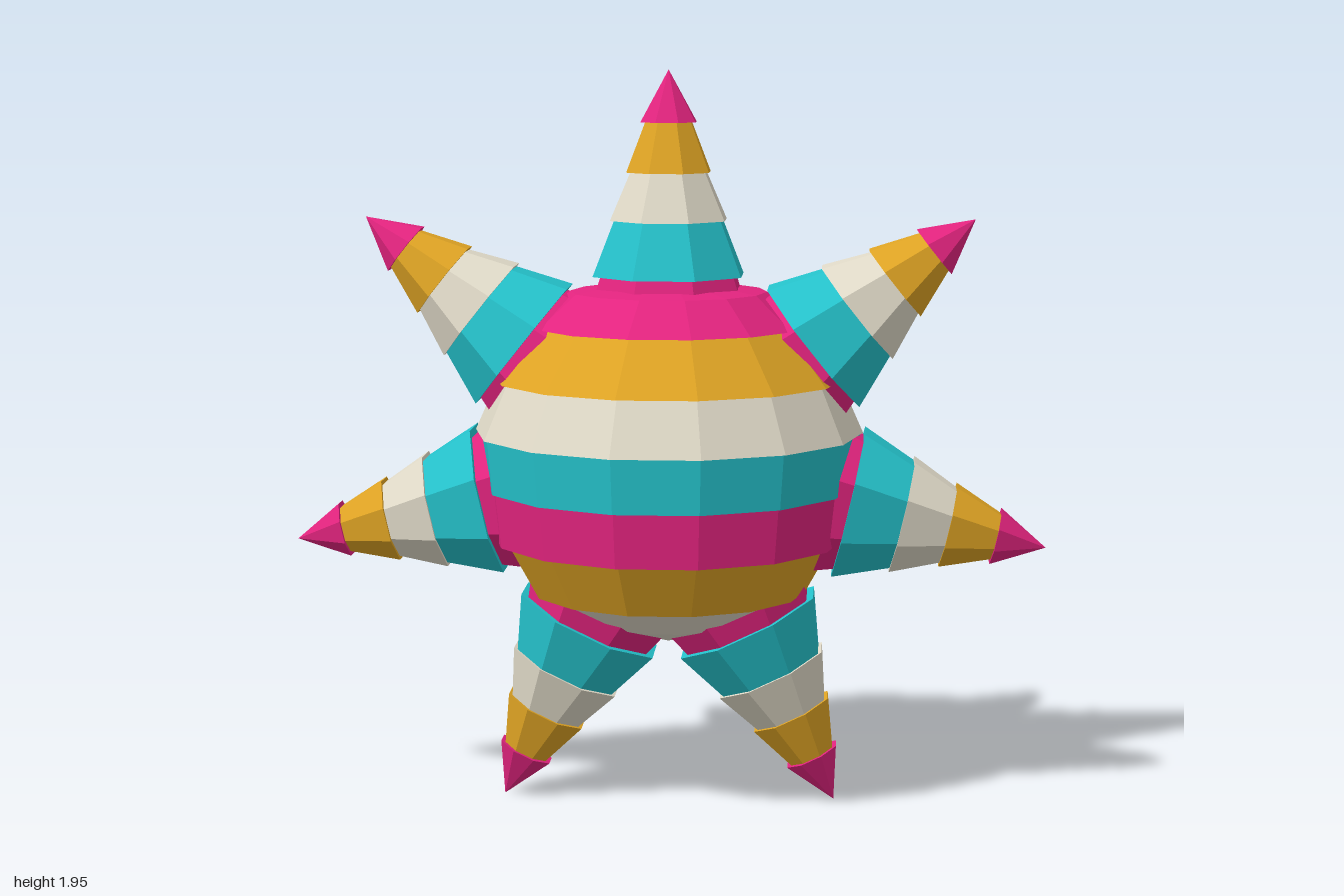
import * as THREE from 'three';

const material = (name, color) => {
  const m = new THREE.MeshStandardMaterial({ color, flatShading: true });
  m.name = name;
  return m;
};

export function createModel() {
  const pink = material('pink', 0xe3247f);
  const gold = material('gold', 0xdfa424);
  const cream = material('cream', 0xe0dac8);
  const teal = material('teal', 0x25c2cb);

  const model = new THREE.Group();
  model.name = 'sevenPointedStar';
  const centerY = 0.925;

  // Closed, faceted ring of revolution; profile runs bottom to top as [radius, y]
  const band = (name, profile, sides, mat) => {
    const closed = [[0, profile[0][1]], ...profile, [0, profile[profile.length - 1][1]]]
      .filter((p, i, a) => i === 0 || p[0] !== a[i - 1][0] || p[1] !== a[i - 1][1])
      .map(([r, y]) => new THREE.Vector2(r, y));
    const mesh = new THREE.Mesh(new THREE.LatheGeometry(closed, sides, Math.PI / sides), mat);
    mesh.name = name;
    return mesh;
  };

  // Round body: stacked bands, each overhanging the one below
  const body = new THREE.Group();
  body.name = 'body';
  [
    [[[0, 0.43], [0.2, 0.49], [0.345, 0.573]], cream],
    [[[0.367, 0.573], [0.446, 0.715]], gold],
    [[[0.47, 0.715], [0.486, 0.857]], pink],
    [[[0.493, 0.857], [0.507, 1.0]], teal],
    [[[0.515, 1.0], [0.452, 1.142]], cream],
    [[[0.465, 1.142], [0.35, 1.283]], gold],
    [[[0.365, 1.283], [0.26, 1.372], [0, 1.41]], pink],
  ].forEach(([profile, mat], i) => body.add(band('bodyBand' + (i + 1), profile, 14, mat)));
  model.add(body);

  // Spikes: overlapping octagonal cones, distances measured from the body centre
  const spikeBands = [
    ['spikeBase', 0.35, 0.235, 0.5, 0.185, pink],
    ['spikeLower', 0.49, 0.21, 0.637, 0.15, teal],
    ['spikeMiddle', 0.635, 0.162, 0.762, 0.105, cream],
    ['spikeUpper', 0.76, 0.117, 0.892, 0.064, gold],
    ['spikeTip', 0.89, 0.078, 1.026, 0, pink],
  ];
  const count = 7;
  for (let i = 0; i < count; i++) {
    const spike = new THREE.Group();
    spike.name = 'spike' + (i + 1);
    for (const [name, y0, r0, y1, r1, mat] of spikeBands) {
      spike.add(band(name, [[r0, y0], [r1, y1]], 8, mat));
    }
    spike.position.y = centerY;
    spike.rotation.z = (i / count) * Math.PI * 2;
    model.add(spike);
  }
  return model;
}
